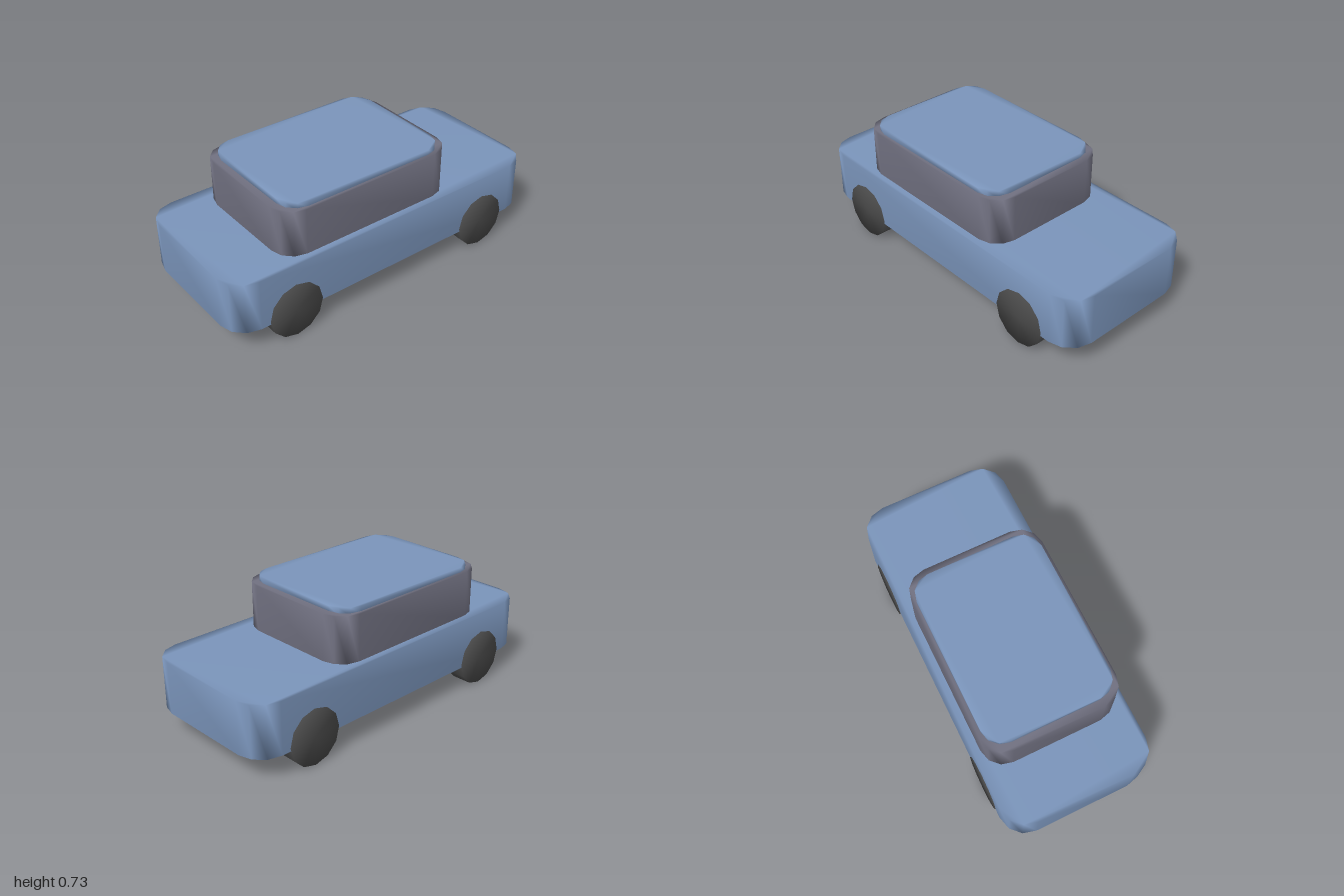
import * as THREE from 'three';
import { mergeVertices } from 'three/addons/utils/BufferGeometryUtils.js';

const paint = new THREE.MeshStandardMaterial({ color: 0x7a94ba });
const glass = new THREE.MeshStandardMaterial({ color: 0x707080 });
const rubber = new THREE.MeshStandardMaterial({ color: 0x484848 });

// Share vertices so the shading runs softly across every edge
function soften(geometry) {
  geometry.deleteAttribute('normal');
  geometry.deleteAttribute('uv');
  const merged = mergeVertices(geometry, 1e-4);
  merged.computeVertexNormals();
  return merged;
}

// Upright slab whose four vertical corners are rounded in three facets
function slab(name, halfX, halfZ, radius, y0, y1, material) {
  const points = [];
  for (let corner = 0; corner < 4; corner++) {
    const sx = corner === 0 || corner === 3 ? 1 : -1;
    const sz = corner < 2 ? 1 : -1;
    for (let i = 0; i <= 3; i++) {
      const a = (corner + i / 3) * Math.PI / 2;
      points.push(new THREE.Vector2(
        sx * (halfX - radius) + radius * Math.cos(a),
        sz * (halfZ - radius) + radius * Math.sin(a)));
    }
  }
  const geometry = new THREE.ExtrudeGeometry(new THREE.Shape(points),
    { depth: y1 - y0, bevelEnabled: false });
  geometry.rotateX(-Math.PI / 2).translate(0, y0, 0);
  const mesh = new THREE.Mesh(soften(geometry), material);
  mesh.name = name;
  return mesh;
}

export function createModel() {
  const car = new THREE.Group();
  car.name = 'car';

  // Lower body, cabin and thin roof panel, the upper two set back
  const body = slab('body', 1, 0.428, 0.15, 0.145, 0.44, paint);
  const cabin = slab('cabin', 0.545, 0.386, 0.13, 0.43, 0.702, glass);
  const roof = slab('roof', 0.5, 0.366, 0.115, 0.69, 0.73, paint);
  cabin.position.x = roof.position.x = -0.12;
  car.add(body, cabin, roof);

  // Four twelve-sided wheels, a hair proud of the body sides
  const wheelGeometry = soften(new THREE.CylinderGeometry(0.16, 0.16, 0.115, 12).rotateX(Math.PI / 2));
  for (const x of [-0.64, 0.64]) {
    for (const z of [-0.373, 0.373]) {
      const wheel = new THREE.Mesh(wheelGeometry, rubber);
      wheel.name = `${z > 0 ? 'front' : 'back'}${x > 0 ? 'Left' : 'Right'}Wheel`;
      wheel.position.set(x, 0.16, z);
      car.add(wheel);
    }
  }
  return car;
}
